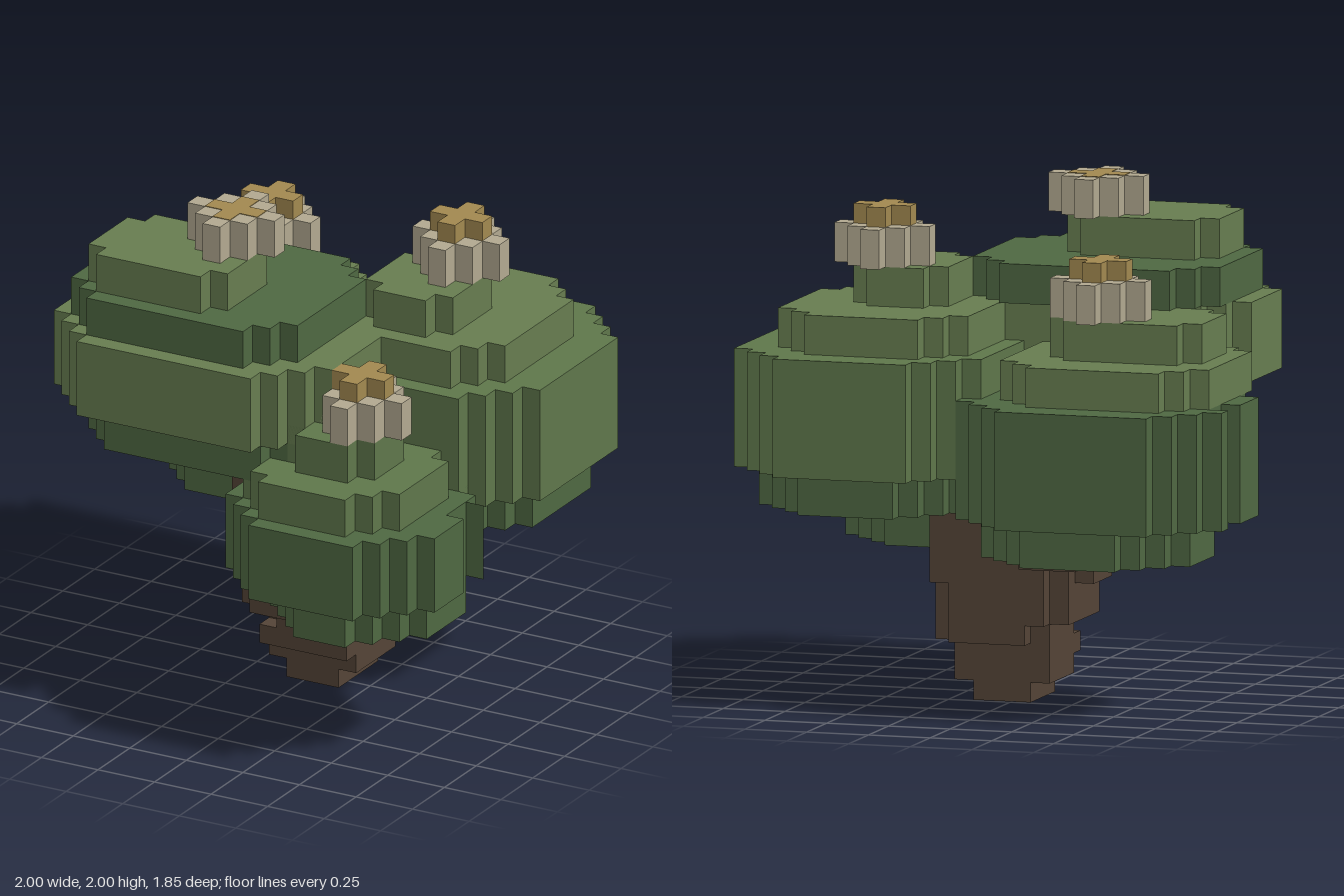
import * as THREE from 'three';

const U = 1 / 13; // size of one block

const material = (color) => new THREE.MeshStandardMaterial({ color, flatShading: true });
const mats = {
  dark: material(0x4f6842),
  mid: material(0x5f774b),
  light: material(0x677d50),
  bark: material(0x544437),
  petal: material(0xb2a990),
  core: material(0xa28950),
};

// Slab of blocks with n diagonal steps cut from every corner (all values in blocks);
// notch = [side, z0, z1] cuts one block out of the +x or -x side
function slab(name, mat, [x0, x1], [y0, y1], [z0, z1], n = 0, notch = [0]) {
  const q = [[n, 0]];
  for (let s = 1; s <= n; s++) q.push([n - s + 1, s], [n - s, s]);
  const r = [...q].reverse();
  const [side, n0, n1] = notch;
  const points = [
    ...q.map(([a, b]) => [x1 - a, -z1 + b]),
    ...(side > 0 ? [[x1, -n1], [x1 - 1, -n1], [x1 - 1, -n0], [x1, -n0]] : []),
    ...r.map(([a, b]) => [x1 - a, -z0 - b]),
    ...q.map(([a, b]) => [x0 + a, -z0 - b]),
    ...(side < 0 ? [[x0, -n0], [x0 + 1, -n0], [x0 + 1, -n1], [x0, -n1]] : []),
    ...r.map(([a, b]) => [x0 + a, -z1 + b]),
  ].map(([x, y]) => new THREE.Vector2(x * U, y * U));
  const geometry = new THREE.ExtrudeGeometry(new THREE.Shape(points), {
    depth: (y1 - y0) * U, bevelEnabled: false,
  });
  geometry.rotateX(-Math.PI / 2).translate(0, y0 * U, 0);
  const mesh = new THREE.Mesh(geometry, mats[mat]);
  mesh.name = name;
  return mesh;
}

// Blossom: diamond of petals around a plus-shaped core
function blossom(x, y, z, raised) {
  const g = new THREE.Group();
  g.name = 'blossom';
  const span = (c, r) => [c - r, c + r];
  g.add(slab('petals', 'petal', span(x, 2.5), [y, y + (raised ? 2 : 1.97)], span(z, 2.5), 2));
  g.add(slab('blossomCore', 'core', span(x, 1.5), [y + 1, y + (raised ? 3 : 2)], span(z, 1.5), 1));
  return g;
}

// Leaf clumps, each a stack of slabs: colour, x range, y range, z range, corner steps, notch
const clumps = {
  backRightFoliage: {
    layers: [
      ['dark', [-11, 0], [8, 10], [-11, -1], 3],
      ['dark', [-13, 1], [10, 16], [-12, 0], 3, [-1, -8, -6]],
      ['light', [-12, -1], [16, 18], [-10, 1], 2],
      ['light', [-11, -3], [18, 20], [-7, -1], 1],
    ],
    blossom: [-5.5, 20, -5.5, true],
  },
  backLeftFoliage: {
    layers: [
      ['dark', [1, 12], [10, 12], [-10, 2], 3],
      ['mid', [0, 13], [12, 18], [-11, 3], 3],
      ['light', [1, 11], [18, 20], [-9, 2], 2],
      ['light', [3, 8], [20, 22], [-5, 1], 1],
    ],
    blossom: [6.5, 22, -3.5, true],
  },
  frontRightFoliage: {
    layers: [
      ['dark', [-9, 4], [14, 16], [-1, 9], 2],
      ['light', [-11, 5], [16, 20], [-1, 10], 3],
      ['dark', [-10, 3], [20, 22], [-2, 9], 2],
      ['light', [-9, -1], [22, 24], [2, 8], 1],
    ],
    blossom: [-2.5, 24, 3.5, false],
  },
  frontLeftFoliage: {
    layers: [
      ['dark', [2, 11], [7, 9], [1, 11], 3],
      ['dark', [0, 12], [9, 13], [1, 12], 3, [1, 4, 6]],
      ['mid', [1, 10], [13, 15], [2, 11], 2],
      ['mid', [3, 8], [15, 17], [4, 9], 1],
    ],
    blossom: [6.5, 17, 6.5, true],
  },
};

export function createModel() {
  const tree = new THREE.Group();
  tree.name = 'tree';

  // Trunk widening upwards
  const trunk = new THREE.Group();
  trunk.name = 'trunk';
  [
    [[-1, 2], [0, 1], [-3, 1], 0],
    [[-2, 3], [1, 2], [-3, 1], 0],
    [[-2, 3], [2, 3], [-3, 2], 0],
    [[-2, 4], [3, 4], [-4, 2], 1],
    [[-3, 4], [4, 6], [-4, 3], 1],
    [[-4, 4], [6, 8], [-4, 3], 2],
  ].forEach(([x, y, z, n]) => trunk.add(slab('trunkSection', 'bark', x, y, z, n)));

  // Branches reaching into the clumps
  [
    [[-2, 0], [6, 12], [0, 3]],
    [[-3, -1], [10, 15], [0, 3]],
    [[0, 2], [6, 9], [0, 3]],
    [[1, 4], [6, 8], [1, 4]],
    [[1, 4], [6, 11], [-4, -2]],
    [[-4, -1], [7, 10], [-5, -2]],
  ].forEach(([x, y, z]) => trunk.add(slab('branch', 'bark', x, y, z)));
  tree.add(trunk);

  // Foliage with a blossom on every clump
  for (const [name, clump] of Object.entries(clumps)) {
    const g = new THREE.Group();
    g.name = name;
    clump.layers.forEach((layer) => g.add(slab('leafLayer', ...layer)));
    g.add(blossom(...clump.blossom));
    tree.add(g);
  }
  return tree;
}
